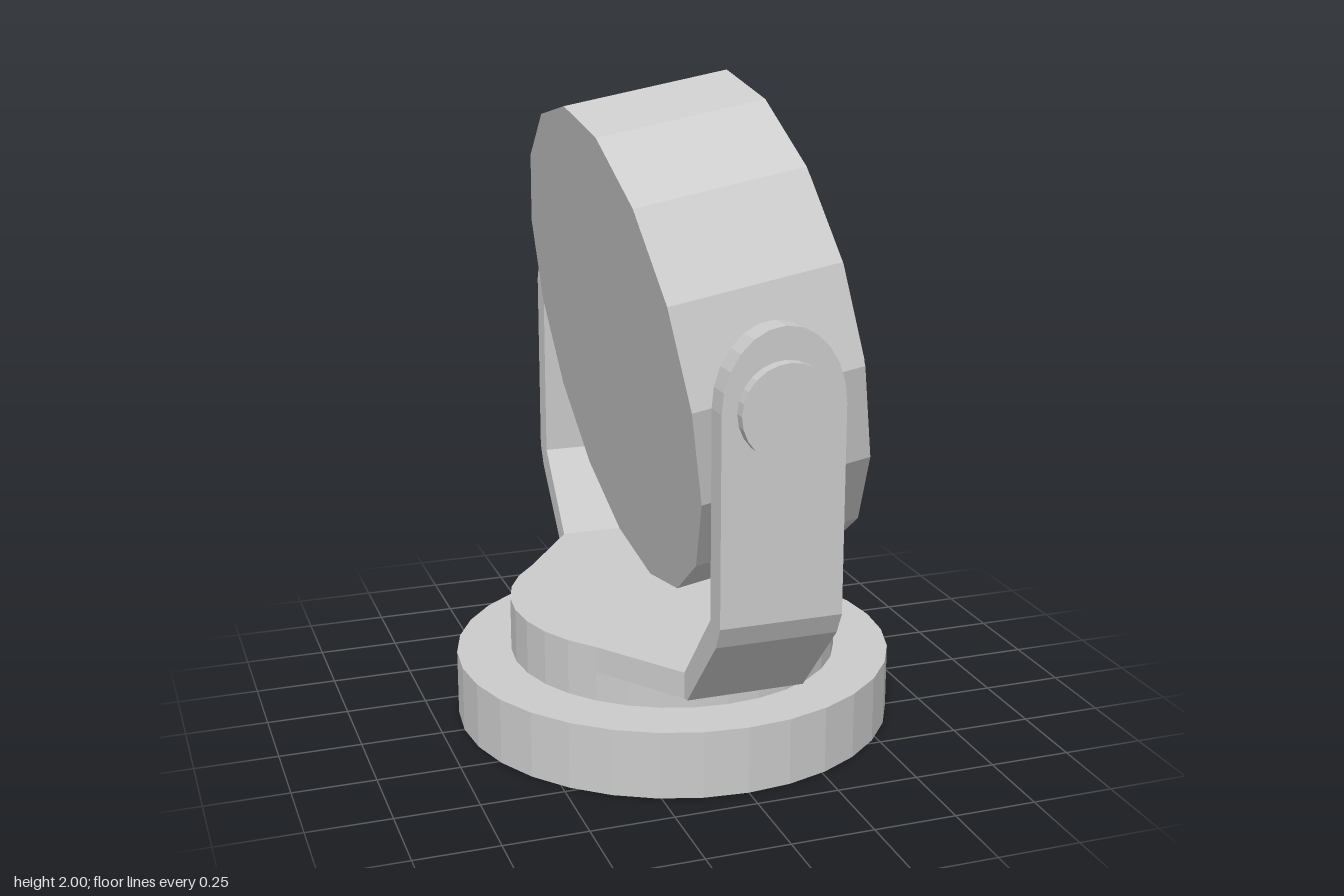
import * as THREE from 'three';

const material = new THREE.MeshStandardMaterial({ color: 0xcccccc, flatShading: true });

function add(parent, name, geometry, x = 0, y = 0, z = 0) {
  const mesh = new THREE.Mesh(geometry, material);
  mesh.name = name;
  mesh.position.set(x, y, z);
  parent.add(mesh);
  return mesh;
}

const extrude = (points, depth) => new THREE.ExtrudeGeometry(
  new THREE.Shape(points.map(([x, y]) => new THREE.Vector2(x, y))),
  { depth, bevelEnabled: false });

const PIVOT = 1.21;
const HALF = 0.177; // half width of the bracket strap

// Turntable outline: a disc with a tapered tongue at each end
function turntableOutline() {
  const points = [];
  for (const turn of [0, Math.PI]) {
    for (let i = 0; i <= 8; i++) {
      const a = turn + (i / 8 - 0.5) * Math.PI / 2;
      points.push([0.51 * Math.cos(a), 0.51 * Math.sin(a)]);
    }
    const s = turn ? -1 : 1;
    points.push([s * HALF, s * 0.62], [-s * HALF, s * 0.62]);
  }
  return points;
}

// One side of the bracket with its pivot pin
function createArm(name) {
  const arm = new THREE.Group();
  arm.name = name;

  // Sloping elbow, profile in z and y
  const elbow = extrude([
    [0.62, 0.295], [0.645, 0.3], [0.873, 0.55], [0.905, 0.615],
    [0.83, 0.615], [0.62, 0.375],
  ], HALF * 2);
  elbow.translate(0, 0, -HALF).rotateY(-Math.PI / 2);
  add(arm, 'bracketElbow', elbow);

  // Upright plate with an arched top
  const plate = [[-HALF, 0.615], [HALF, 0.615]];
  for (let i = 0; i <= 12; i++) {
    const a = i / 12 * Math.PI;
    plate.push([HALF * Math.cos(a), PIVOT + 0.225 * Math.sin(a)]);
  }
  add(arm, 'bracketUpright', extrude(plate, 0.075), 0, 0, 0.83);

  // Pin running from the housing out through the upright
  const pin = new THREE.CylinderGeometry(0.134, 0.134, 0.27, 24).rotateX(Math.PI / 2);
  add(arm, 'pivotPin', pin, 0, PIVOT, 0.805);
  return arm;
}

export function createModel() {
  const model = new THREE.Group();
  model.name = 'spotlight';

  // Base
  add(model, 'base', new THREE.CylinderGeometry(0.68, 0.68, 0.205, 32), 0, 0.1025, 0);
  add(model, 'baseCollar', new THREE.CylinderGeometry(0.51, 0.51, 0.1, 32), 0, 0.25, 0);
  add(model, 'turntable', extrude(turntableOutline(), 0.08).rotateX(-Math.PI / 2), 0, 0.295, 0);

  // Bracket
  const leftArm = createArm('bracketArmFront');
  const rightArm = createArm('bracketArmBack');
  rightArm.rotation.y = Math.PI;
  model.add(leftArm, rightArm);

  // Lamp head, turned about its own axis and tilted up ten degrees
  const head = new THREE.Group();
  head.name = 'lampHead';
  head.position.y = PIVOT;
  head.rotation.z = THREE.MathUtils.degToRad(-80);
  model.add(head);
  const lathe = (name, points) => add(head, name,
    new THREE.LatheGeometry(points.map(([r, t]) => new THREE.Vector2(r, t)), 16));

  lathe('housing', [[0, -0.205], [0.746, -0.205], [0.746, 0.305], [0.695, 0.305]]);
  lathe('frontRim', [[0.695, 0.305], [0.695, 0.326], [0.66, 0.326], [0.66, 0.3]]);
  lathe('reflector', [[0.66, 0.3], [0.383, 0.205]]);
  lathe('lensRing', [[0.383, 0.205], [0.383, 0.225], [0.35, 0.225], [0.35, 0.205]]);
  lathe('lens', [[0.35, 0.205], [0, 0.205]]);

  return model;
}
